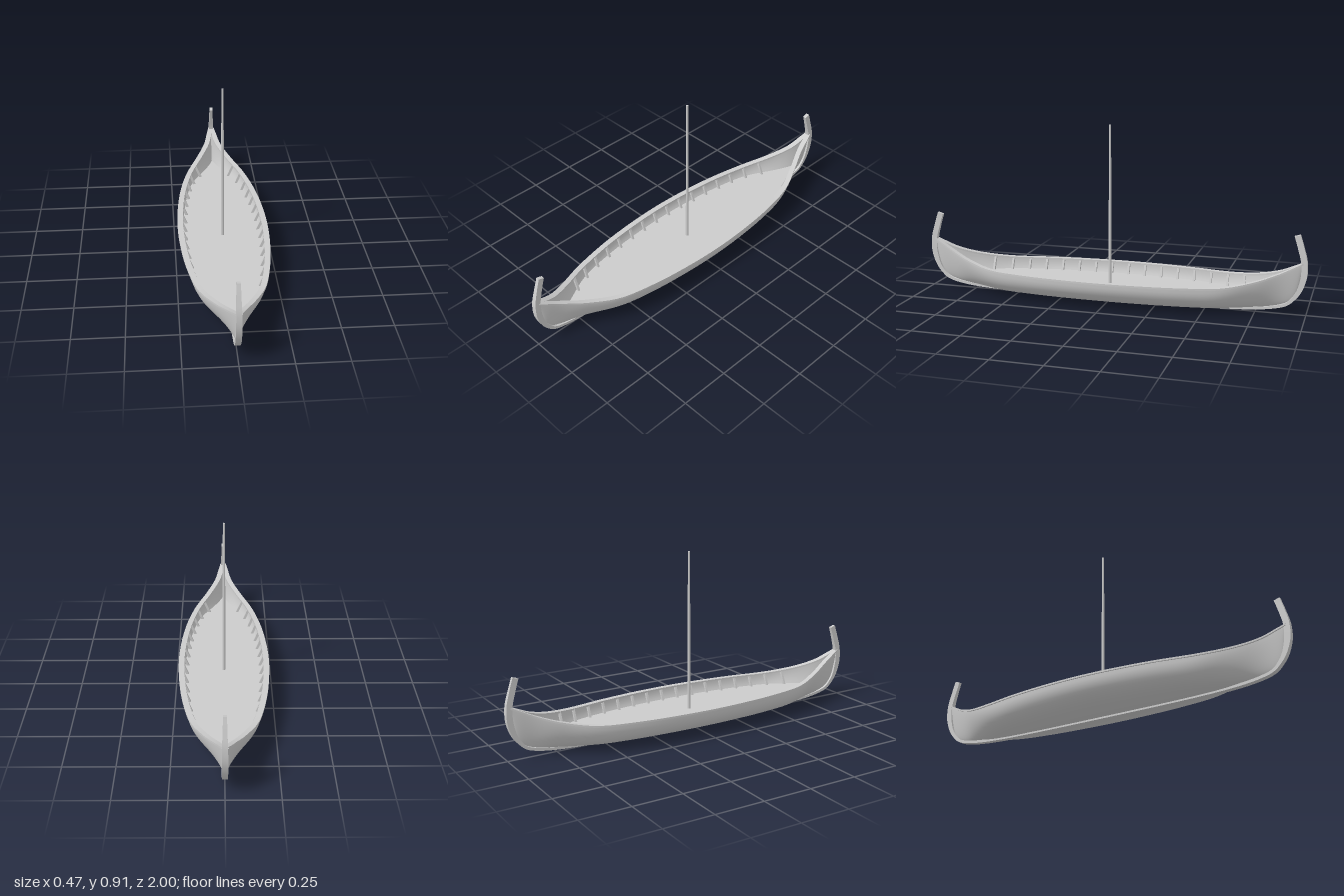
import * as THREE from 'three';
import { toCreasedNormals } from 'three/addons/utils/BufferGeometryUtils.js';

const V = (x, y, z) => new THREE.Vector3(x, y, z);
const FLOOR_Y = 0.085;
const mat = new THREE.MeshStandardMaterial({ color: 0xcccccc, side: THREE.DoubleSide });

// Half stations: z, half-breadth, sheer height, keel height
const HALF = [
  [0, 0.228, 0.142, 0.009], [0.2, 0.22, 0.142, 0.009], [0.4, 0.198, 0.142, 0.01],
  [0.6, 0.156, 0.145, 0.014], [0.75, 0.093, 0.169, 0.024], [0.86, 0.043, 0.203, 0.042],
  [0.94, 0.02, 0.24, 0.093], [0.98, 0.009, 0.26, 0.23],
];
const TABLE = [...HALF.slice(1).reverse().map(([z, ...r]) => [-z, ...r]), ...HALF];
const spline = (pts) => new THREE.CatmullRomCurve3(pts, false, 'catmullrom', 0.5);
const sheerCurve = spline(TABLE.map(([z, w, s]) => V(w, s, z)));
const keelCurve = spline(TABLE.map(([z, , , k]) => V(0, k, z)));

const STEPS = 84;
const stations = Array.from({ length: STEPS + 1 }, (_, i) => {
  const p = sheerCurve.getPoint(i / STEPS);
  const k = keelCurve.getPoint(i / STEPS).y;
  // Sections go from round amidships to V-shaped at the ends
  const e = 0.85 + 0.65 * THREE.MathUtils.smoothstep(Math.abs(p.z), 0.5, 0.97);
  return { z: p.z, w: p.x, s: p.y, k, e };
});

// Half-breadth of the hull at height y of one station
function breadth(st, y) {
  const h = THREE.MathUtils.clamp((y - st.k) / (st.s - st.k), 0, 1);
  const c = Math.pow(1 - h, 1 / st.e);
  return st.w * Math.pow(Math.sqrt(1 - c * c), st.e);
}

// Station at any z
function stationAt(z) {
  const i = Math.max(1, stations.findIndex((st) => st.z >= z));
  const a = stations[i - 1], b = stations[i], t = (z - a.z) / (b.z - a.z);
  const out = {};
  for (const key of Object.keys(a)) out[key] = a[key] + (b[key] - a[key]) * t;
  return out;
}

// Skin a list of cross-sections that run towards +z
function loft(rows, { closed = false, flip = false } = {}) {
  const n = rows[0].length, index = [];
  for (let i = 0; i < rows.length - 1; i++) {
    for (let j = 0; j < (closed ? n : n - 1); j++) {
      const k = (j + 1) % n;
      const a = i * n + j, b = a + n, c = i * n + k, d = c + n;
      if (flip) index.push(a, b, c, c, b, d);
      else index.push(a, c, b, c, d, b);
    }
  }
  const g = new THREE.BufferGeometry().setFromPoints(rows.flat());
  g.setIndex(index);
  g.computeVertexNormals();
  return g;
}

function add(parent, name, geometry) {
  const m = new THREE.Mesh(geometry, mat);
  m.name = name;
  parent.add(m);
  return m;
}

// Planking, lining and rail of one side
function buildSide(group, s) {
  const flip = s < 0, label = s > 0 ? 'left' : 'right';
  const N = 14;
  add(group, label + 'Planking', loft(stations.map((st) =>
    Array.from({ length: N + 1 }, (_, j) => {
      const a = (j / N) * Math.PI / 2;
      const x = st.w * Math.pow(Math.sin(a), st.e);
      const up = 1 - Math.pow(Math.max(0, Math.cos(a)), st.e);
      return V(s * x, st.k + (st.s - st.k) * up, st.z);
    })), { flip }));

  add(group, label + 'Lining', loft(stations.map((st) =>
    Array.from({ length: 6 }, (_, j) => {
      const y0 = Math.max(FLOOR_Y - 0.004, st.k), y = y0 + (st.s - y0) * j / 5;
      return V(s * Math.max(0, breadth(st, y) - 0.011), y, st.z);
    })), { flip: !flip }));

  add(group, label + 'Rail', toCreasedNormals(loft(stations.map((st) => {
    const i = s * Math.max(0, st.w - 0.022), o = s * (st.w + 0.007);
    const lo = st.s - 0.004, hi = st.s + 0.005;
    return [V(i, lo, st.z), V(o, lo, st.z), V(o, hi, st.z), V(i, hi, st.z)];
  }), { closed: true, flip }), 0.6));

  // Ribs lean inward from the rail to the floor
  for (let r = 0; r < 16; r++) {
    const z = -0.68 + r * 1.36 / 15;
    const st = stationAt(z);
    const top = V(s * (st.w - 0.014), st.s, z);
    const foot = V(s * (breadth(st, FLOOR_Y) - 0.026), FLOOR_Y - 0.004, z);
    const dir = top.clone().sub(foot);
    const rib = add(group, label + 'Rib', new THREE.BoxGeometry(0.013, dir.length(), 0.011));
    rib.position.copy(top).add(foot).multiplyScalar(0.5);
    rib.quaternion.setFromUnitVectors(V(0, 1, 0), dir.normalize());
  }
}

// Keel and both curved stems as one swept timber
function keelGeometry() {
  const end = [[0.946, 0.4], [0.966, 0.335], [0.984, 0.26], [0.98, 0.175], [0.943, 0.09], [0.86, 0.037], [0.6, 0.012]];
  const path = spline([
    ...end.map(([z, y]) => V(0, y, -z)), V(0, 0.007, 0),
    ...end.slice().reverse().map(([z, y]) => V(0, y, z)),
  ]);
  const rows = [], M = 84;
  for (let i = 0; i <= M; i++) {
    const p = path.getPoint(i / M), t = path.getTangent(i / M);
    const n = t.clone().cross(V(1, 0, 0));
    const rise = THREE.MathUtils.smoothstep(p.y, 0.02, 0.2);
    const h = 0.007 + 0.008 * rise;
    const w = 0.014 - 0.005 * THREE.MathUtils.smoothstep(p.y, 0.2, 0.4);
    rows.push([[-w, -h], [w, -h], [w, h], [-w, h]].map(([x, o]) =>
      p.clone().addScaledVector(n, o).setX(x)));
  }
  // End caps
  const cap = (row) => {
    const c = row.reduce((sum, q) => sum.add(q), V(0, 0, 0)).multiplyScalar(0.25);
    return row.map(() => c.clone());
  };
  return toCreasedNormals(loft([cap(rows[0]), ...rows, cap(rows[M])], { closed: true }), 0.6);
}

export function createModel() {
  const boat = new THREE.Group();
  boat.name = 'boat';

  const hull = new THREE.Group();
  hull.name = 'hull';
  boat.add(hull);
  for (const s of [1, -1]) buildSide(hull, s);
  add(hull, 'keelAndStems', keelGeometry());

  // Flat floor filling the hull
  add(boat, 'floor', loft(stations.filter((st) => st.k < FLOOR_Y).map((st) => {
    const x = Math.max(0, breadth(st, FLOOR_Y) - 0.006);
    return [V(-x, FLOOR_Y, st.z), V(x, FLOOR_Y, st.z)];
  }), { flip: true }));

  // Tapered mast
  const mast = add(boat, 'mast', new THREE.CylinderGeometry(0.0055, 0.0085, 0.906 - FLOOR_Y, 12));
  mast.position.y = (0.906 + FLOOR_Y) / 2;
  return boat;
}
